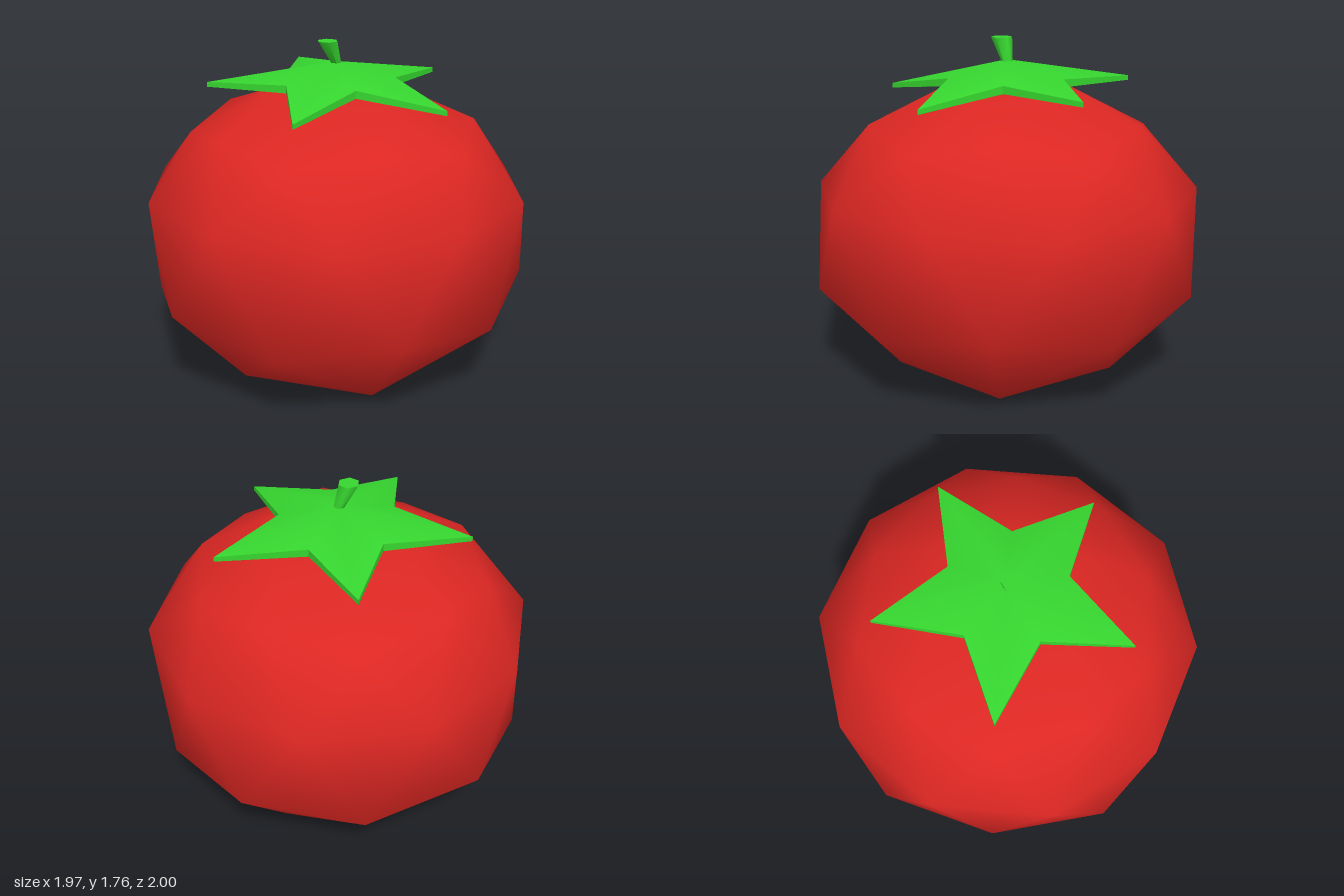
import * as THREE from 'three';
import { mergeVertices, toCreasedNormals } from 'three/addons/utils/BufferGeometryUtils.js';
import { ConvexGeometry } from 'three/addons/geometries/ConvexGeometry.js';

const RED = new THREE.MeshStandardMaterial({ color: 0xdd2723 });
const GREEN = new THREE.MeshStandardMaterial({ color: 0x36d62f });
const CX = 0.02; // axis of the fruit

// Rings of a 42-point ball: [unit height, count, first angle in degrees, final height, radius scale]
const RINGS = [
  [-1, 1, 0, 0, 1],
  [-0.851, 5, 36, 0.03, 1.13],
  [-0.526, 5, 0, 0.4, 1.13],
  [-0.447, 5, 36, 0.49, 1.13],
  [0, 10, 18, 0.99, 1],
  [0.447, 5, 0, 1.28, 0.85],
  [0.526, 5, 36, 1.35, 0.85],
  [0.851, 5, 0, 1.51, 0.62],
  [1, 1, 0, 1.2, 1], // dimple under the stem
];

function fruitGeometry() {
  const points = [];
  for (const [h, count, start] of RINGS) {
    const r = Math.sqrt(1 - h * h);
    for (let i = 0; i < count; i++) {
      const a = THREE.MathUtils.degToRad(start + (360 * i) / count);
      points.push(new THREE.Vector3(r * Math.cos(a), h, r * Math.sin(a)));
    }
  }
  // Triangulate the ball, then reshape it ring by ring
  let geo = new ConvexGeometry(points);
  geo.deleteAttribute('normal');
  geo = mergeVertices(geo, 1e-4);
  const p = geo.attributes.position;
  for (let i = 0; i < p.count; i++) {
    const ring = RINGS.find(([h]) => Math.abs(h - p.getY(i)) < 0.01);
    p.setXYZ(i, p.getX(i) * ring[4] + CX, ring[3], p.getZ(i) * ring[4]);
  }
  geo.computeVertexNormals();
  return geo;
}

// Five-pointed leaf star: raised centre, thin rim, closed underside
function leafGeometry() {
  const tipHeights = [1.535, 1.49, 1.49, 1.545, 1.545];
  const pos = [CX, 1.655, 0, CX, 1.52, 0];
  const index = [];
  for (let i = 0; i < 10; i++) {
    const tip = i % 2 === 0;
    const a = (i * Math.PI) / 5;
    const r = tip ? 0.666 : 0.309;
    const y = tip ? tipHeights[i / 2] : 1.568;
    const x = CX + r * Math.cos(a), z = r * Math.sin(a);
    pos.push(x, y, z, x, y - (tip ? 0.025 : 0.04), z);
    const t = 2 + 2 * i, b = t + 1;
    const tn = 2 + 2 * ((i + 1) % 10), bn = tn + 1;
    index.push(0, tn, t, 1, b, bn, t, tn, b, tn, bn, b);
  }
  const geo = new THREE.BufferGeometry();
  geo.setAttribute('position', new THREE.Float32BufferAttribute(pos, 3));
  geo.setIndex(index);
  return toCreasedNormals(geo, THREE.MathUtils.degToRad(45));
}

// Six-sided stem, wider at the top and leaning towards the right
function stemGeometry() {
  const geo = new THREE.CylinderGeometry(0.055, 0.027, 0.13, 6, 1, false, Math.PI / 2);
  const p = geo.attributes.position;
  for (let i = 0; i < p.count; i++) {
    const y = p.getY(i);
    p.setX(i, p.getX(i) - 0.45 * y);
  }
  geo.translate(-0.003, 1.7, 0);
  return toCreasedNormals(geo, THREE.MathUtils.degToRad(65));
}

export function createModel() {
  const model = new THREE.Group();
  model.name = 'tomato';
  const add = (name, geo, material) => {
    const mesh = new THREE.Mesh(geo, material);
    mesh.name = name;
    model.add(mesh);
  };
  add('fruit', fruitGeometry(), RED);
  add('leaves', leafGeometry(), GREEN);
  add('stem', stemGeometry(), GREEN);
  return model;
}
